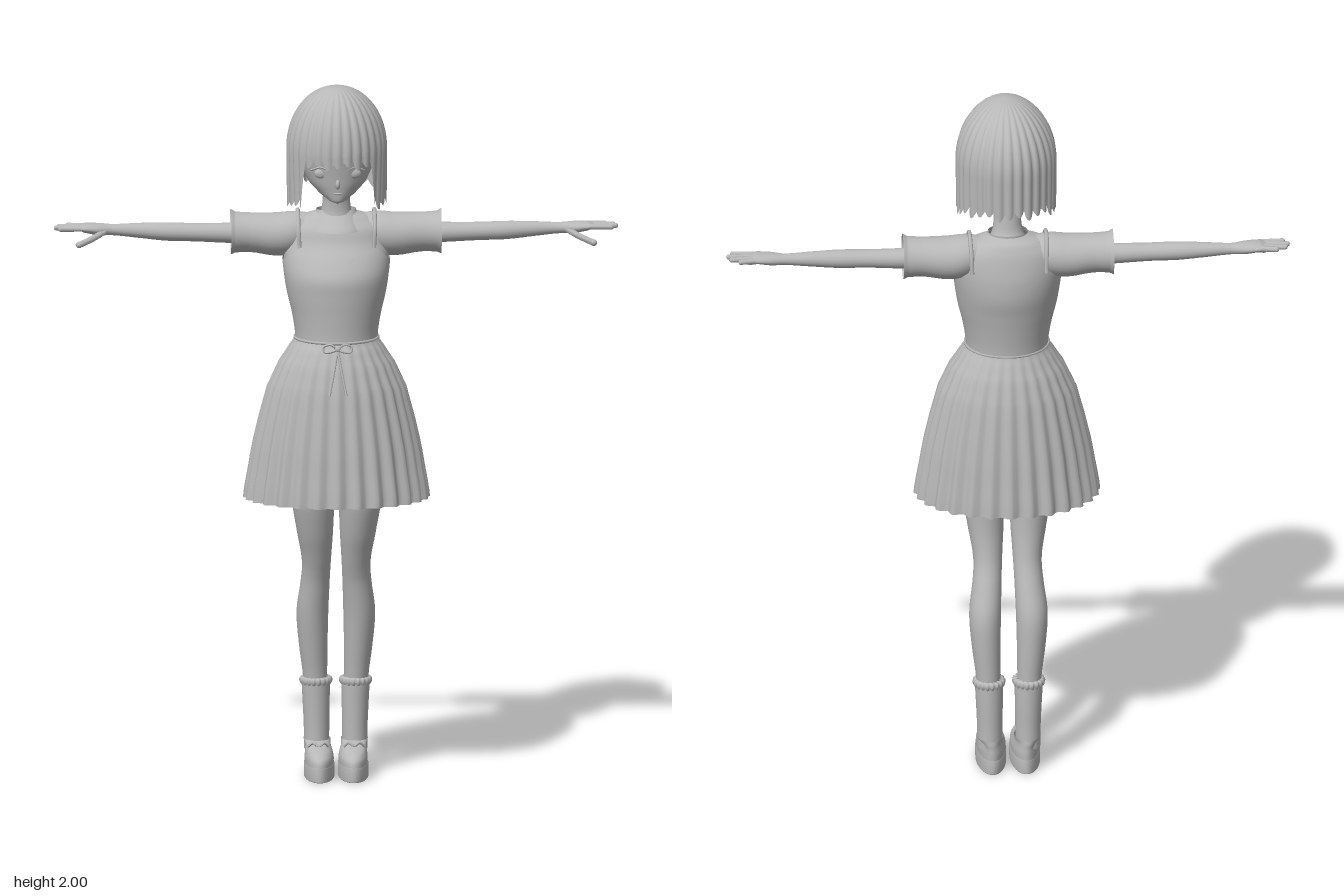
import * as THREE from 'three';

const grey = new THREE.MeshStandardMaterial({ color: 0xb8b8b8, side: THREE.DoubleSide });
grey.name = 'plain grey';

// Closed grid surface: f(u, angle) gives a point, u runs along the part
function surface(rows, n, f) {
  const pos = [], idx = [];
  for (let i = 0; i <= rows; i++)
    for (let j = 0; j < n; j++) pos.push(...f(i / rows, (j / n) * Math.PI * 2));
  for (let i = 0; i < rows; i++)
    for (let j = 0; j < n; j++) {
      const a = i * n + j, b = i * n + ((j + 1) % n);
      idx.push(a, a + n, b, b, a + n, b + n);
    }
  const g = new THREE.BufferGeometry();
  g.setAttribute('position', new THREE.Float32BufferAttribute(pos, 3));
  g.setIndex(idx);
  g.computeVertexNormals();
  return g;
}

// Ring at a fractional index: first value linear, the rest on a soft curve
function ringAt(rings, s, smooth = true) {
  const last = rings.length - 1, i = Math.min(Math.floor(s), last - 1), t = s - i;
  const p = k => rings[Math.max(0, Math.min(last, k))];
  return p(i).map((b, k) => {
    const c = p(i + 1)[k];
    if (k === 0 || !smooth) return b + (c - b) * t;
    const m0 = (c - p(i - 1)[k]) / 2, m1 = (p(i + 2)[k] - b) / 2, d = t * t, e = d * t;
    return (2 * e - 3 * d + 1) * b + (e - 2 * d + t) * m0 + (3 * d - 2 * e) * c + (e - d) * m1;
  });
}
function ringAtHeight(rings, y) {
  let i = 0;
  while (i < rings.length - 2 && rings[i + 1][0] < y) i++;
  return ringAt(rings, i + (y - rings[i][0]) / (rings[i + 1][0] - rings[i][0]));
}

// Elliptic rings: upright [y, cx, rx, cz, rz], sideways [x, cy, ry, cz, rz]
function loft(rings, { n = 32, sub = 4, sideways = false } = {}) {
  const last = rings.length - 1;
  return surface(last * sub, n, (u, a) => {
    const [h, c, r, cz, rz] = ringAt(rings, u * last, sub > 1);
    return sideways ? [h, c + r * Math.sin(a), cz + rz * Math.cos(a)]
      : [c + r * Math.cos(a), h, cz + rz * Math.sin(a)];
  });
}

function capsule(a, b, r) {
  const p = new THREE.Vector3(...a), q = new THREE.Vector3(...b), d = q.clone().sub(p);
  const g = new THREE.CapsuleGeometry(r, d.length(), 4, 10);
  g.applyQuaternion(new THREE.Quaternion().setFromUnitVectors(new THREE.Vector3(0, 1, 0), d.clone().normalize()));
  return g.translate(...p.add(q).multiplyScalar(0.5).toArray());
}
const tube = (pts, r, n = 16) =>
  new THREE.TubeGeometry(new THREE.CatmullRomCurve3(pts.map(p => new THREE.Vector3(...p))), n, r, 6);
const ball = (x, y, z, sx, sy, sz) => new THREE.SphereGeometry(1, 16, 10).scale(sx, sy, sz).translate(x, y, z);

function mirrored(g) {
  const m = g.clone().scale(-1, 1, 1), ix = m.index.array;
  for (let i = 0; i < ix.length; i += 3) [ix[i], ix[i + 1]] = [ix[i + 1], ix[i]];
  m.computeVertexNormals();
  return m;
}

export function createModel() {
  const model = new THREE.Group();
  const add = (name, g) => {
    const m = new THREE.Mesh(g, grey);
    m.name = name;
    model.add(m);
  };
  const pair = (name, g) => { add('left' + name, g); add('right' + name, mirrored(g)); };

  // Head, neck and face
  add('head', loft([[1.675, 0, 0.002, 0.125, 0.004], [1.682, 0, 0.022, 0.115, 0.028], [1.7, 0, 0.05, 0.085, 0.062],
    [1.73, 0, 0.08, 0.066, 0.086], [1.77, 0, 0.1, 0.056, 0.102], [1.83, 0, 0.115, 0.048, 0.12],
    [1.9, 0, 0.11, 0.045, 0.115], [1.95, 0, 0.07, 0.045, 0.07], [1.97, 0, 0.002, 0.045, 0.002]]));
  add('neck', loft([[1.56, 0, 0.085, -0.03, 0.07], [1.6, 0, 0.055, -0.03, 0.05], [1.63, 0, 0.042, -0.025, 0.037],
    [1.68, 0, 0.038, -0.018, 0.035], [1.75, 0, 0.042, 0, 0.04]]));
  add('nose', ball(0, 1.735, 0.155, 0.007, 0.014, 0.014));
  add('mouth', ball(0, 1.707, 0.146, 0.014, 0.003, 0.004));
  pair('Eye', ball(0.046, 1.765, 0.14, 0.02, 0.015, 0.009));
  pair('Eyelash', tube([[0.022, 1.772, 0.153], [0.046, 1.783, 0.148], [0.074, 1.772, 0.128]], 0.003));

  // Bobbed hair with ridged strands, a short fringe and long sides
  const strands = 30, step = THREE.MathUtils.smoothstep;
  add('hair', surface(28, strands * 6, (u, a) => {
    const front = Math.abs(Math.atan2(Math.cos(a), Math.sin(a)));
    const bump = Math.abs(Math.sin(a * strands / 2));
    const k = Math.floor(a * strands / (2 * Math.PI));
    const hem = 1.81 - 0.125 * step(front, 0.72, 0.9) + 0.035 * step(front, 1.5, 2.6)
      - 0.018 * bump - 0.006 * (k * 7 % 3);
    const v = 1 - u;
    let y, r;
    if (v < 0.6) {
      y = 1.82 + 0.18 * Math.cos(v / 0.6 * Math.PI / 2);
      r = Math.sin(v / 0.6 * Math.PI / 2);
    } else {
      const w = (v - 0.6) / 0.4;
      y = 1.82 + (hem - 1.82) * w;
      r = 1 - 0.25 * (1.82 - y) * (front < 1.3 ? 1 : 0.3);
    }
    r *= 0.96 + 0.045 * bump;
    return [0.142 * r * Math.cos(a), y, 0.055 - 0.02 * Math.min(1, r) + 0.164 * r * Math.sin(a)];
  }));

  // Blouse body
  const torso = [[1.25, 0, 0.113, -0.002, 0.11], [1.28, 0, 0.112, -0.003, 0.109], [1.34, 0, 0.121, -0.006, 0.114],
    [1.4, 0, 0.135, -0.01, 0.121], [1.45, 0, 0.143, -0.016, 0.126], [1.5, 0, 0.148, -0.03, 0.113],
    [1.54, 0, 0.147, -0.042, 0.095], [1.58, 0, 0.137, -0.045, 0.082], [1.61, 0, 0.1, -0.05, 0.062],
    [1.625, 0, 0.055, -0.045, 0.045]];
  add('blouse', loft(torso, { n: 48 }));
  add('collar', loft([[1.575, 0, 0.078, -0.02, 0.078], [1.6, 0, 0.066, -0.028, 0.06], [1.63, 0, 0.056, -0.042, 0.046]]));

  // Pinafore bodice with pointed necklines front and back
  add('bodice', surface(20, 96, (u, a) => {
    const c = Math.abs(Math.cos(a));
    const top = 1.485 + 0.05 * Math.min(1, c / 0.72) - 0.045 * Math.max(0, (c - 0.72) / 0.28);
    const y = 1.27 + (top - 1.27) * u;
    const [, , rx, cz, rz] = ringAtHeight(torso, y);
    return [(rx + 0.005) * Math.cos(a), y, cz + (rz + 0.005) * Math.sin(a)];
  }));
  pair('ShoulderStrap', tube([[0.105, 1.53, 0.035], [0.108, 1.585, 0.025], [0.108, 1.622, -0.03],
    [0.108, 1.618, -0.08], [0.106, 1.58, -0.11], [0.105, 1.53, -0.12]], 0.006, 24));

  // Pleated skirt and hips
  const skirt = [[0.81, 0, 0.256, 0, 0.2], [0.9, 0, 0.243, 0, 0.191], [1, 0, 0.225, 0, 0.18], [1.13, 0, 0.193, 0, 0.162],
    [1.2, 0, 0.162, 0, 0.144], [1.245, 0, 0.134, 0, 0.126], [1.275, 0, 0.116, -0.002, 0.112]];
  add('skirt', surface(24, 28 * 6, (u, a) => {
    const [y, , rx, cz, rz] = ringAt(skirt, u * 6);
    const wave = 0.008 * (1 - u) * Math.cos(a * 28);
    return [(rx + wave) * Math.cos(a), y, cz + (rz + wave) * Math.sin(a)];
  }));
  add('hips', loft([[1.05, 0, 0.01, 0, 0.01], [1.07, 0, 0.09, 0, 0.08], [1.14, 0, 0.135, 0, 0.11], [1.26, 0, 0.108, 0, 0.105]]));

  // Waist cord and bow
  const ring = Array.from({ length: 25 }, (_, i) => i / 24 * 2 * Math.PI);
  add('waistCord', tube(ring.map(a => [0.118 * Math.cos(a), 1.27, 0.115 * Math.sin(a)]), 0.004, 64));
  add('bowKnot', ball(0, 1.256, 0.127, 0.009, 0.009, 0.008));
  pair('BowLoop', tube([[0, 1.256, 0.128], [0.02, 1.27, 0.13], [0.04, 1.262, 0.126], [0.036, 1.248, 0.13],
    [0.015, 1.25, 0.132], [0, 1.256, 0.128]], 0.0035, 24));
  pair('BowTail', tube([[0, 1.256, 0.128], [0.01, 1.2, 0.151], [0.024, 1.13, 0.171]], 0.0035));

  // Short sleeves with an open, frilled cuff
  pair('Sleeve', loft([[0.06, 1.57, 0.045, -0.05, 0.045], [0.12, 1.56, 0.06, -0.05, 0.064], [0.17, 1.555, 0.061, -0.051, 0.066],
    [0.24, 1.56, 0.056, -0.052, 0.06], [0.285, 1.561, 0.058, -0.052, 0.062], [0.297, 1.562, 0.064, -0.052, 0.066]],
    { sideways: true }));

  // Arms and hands
  pair('Arm', loft([[0.1, 1.56, 0.035, -0.055, 0.036], [0.3, 1.558, 0.029, -0.056, 0.031], [0.4, 1.56, 0.026, -0.056, 0.028],
    [0.48, 1.562, 0.026, -0.058, 0.028], [0.56, 1.565, 0.021, -0.062, 0.022], [0.63, 1.567, 0.016, -0.064, 0.018],
    [0.67, 1.569, 0.017, -0.062, 0.028], [0.71, 1.573, 0.013, -0.062, 0.034], [0.73, 1.574, 0.006, -0.062, 0.031]],
    { n: 20, sideways: true }));
  const tips = [[0.757, -0.094], [0.782, -0.077], [0.789, -0.056], [0.777, -0.034]];
  tips.forEach(([x, z], i) => pair('Finger' + (i + 1),
    capsule([0.705, 1.574, -0.086 + i * 0.016], [x, 1.574, z], 0.0075)));
  pair('Thumb', tube([[0.65, 1.566, -0.05], [0.685, 1.55, -0.025], [0.725, 1.535, -0.004]], 0.0095));
  pair('ThumbTip', ball(0.726, 1.535, -0.004, 0.01, 0.0095, 0.0095));

  // Legs
  pair('Leg', loft([[0.27, 0.058, 0.034, -0.096, 0.04], [0.38, 0.064, 0.041, -0.088, 0.05], [0.47, 0.066, 0.045, -0.077, 0.056],
    [0.56, 0.059, 0.041, -0.052, 0.049], [0.62, 0.056, 0.041, -0.03, 0.049], [0.7, 0.06, 0.05, -0.008, 0.059],
    [0.8, 0.066, 0.06, 0.007, 0.073], [0.95, 0.066, 0.062, 0.01, 0.083], [1.12, 0.066, 0.062, 0.005, 0.085]], { n: 28 }));

  // Ankle socks with a turned cuff
  pair('Sock', loft([[0.07, 0.054, 0.036, -0.098, 0.045], [0.13, 0.054, 0.036, -0.098, 0.044], [0.2, 0.055, 0.038, -0.098, 0.045],
    [0.262, 0.056, 0.04, -0.097, 0.046]]));
  pair('SockCuff', surface(8, 72, (u, a) => {
    const r = 0.003 * Math.cos(a * 18) + 0.004 * Math.sin(u * Math.PI) - (u > 0.9 ? 0.006 : 0);
    return [0.056 + (0.04 + r) * Math.cos(a), 0.255 + 0.022 * u, -0.097 + (0.046 + r) * Math.sin(a)];
  }));

  // Thick-soled round-toed shoes
  pair('Sole', loft([[0, 0.048, 0.001, -0.038, 0.001], [0.0005, 0.048, 0.041, -0.038, 0.116],
    [0.003, 0.048, 0.043, -0.038, 0.118], [0.04, 0.048, 0.043, -0.038, 0.118], [0.043, 0.048, 0.038, -0.038, 0.112]], { sub: 1 }));
  pair('Shoe', loft([[0.038, 0.048, 0.041, -0.038, 0.115], [0.06, 0.048, 0.041, -0.041, 0.112], [0.075, 0.049, 0.038, -0.052, 0.1],
    [0.087, 0.051, 0.036, -0.072, 0.08], [0.1, 0.053, 0.038, -0.095, 0.055]]));
  pair('ShoeBow', tube([[0.022, 0.088, -0.018], [0.035, 0.1, -0.01], [0.05, 0.091, -0.005], [0.065, 0.1, -0.01],
    [0.08, 0.088, -0.018]], 0.004));
  return model;
}
